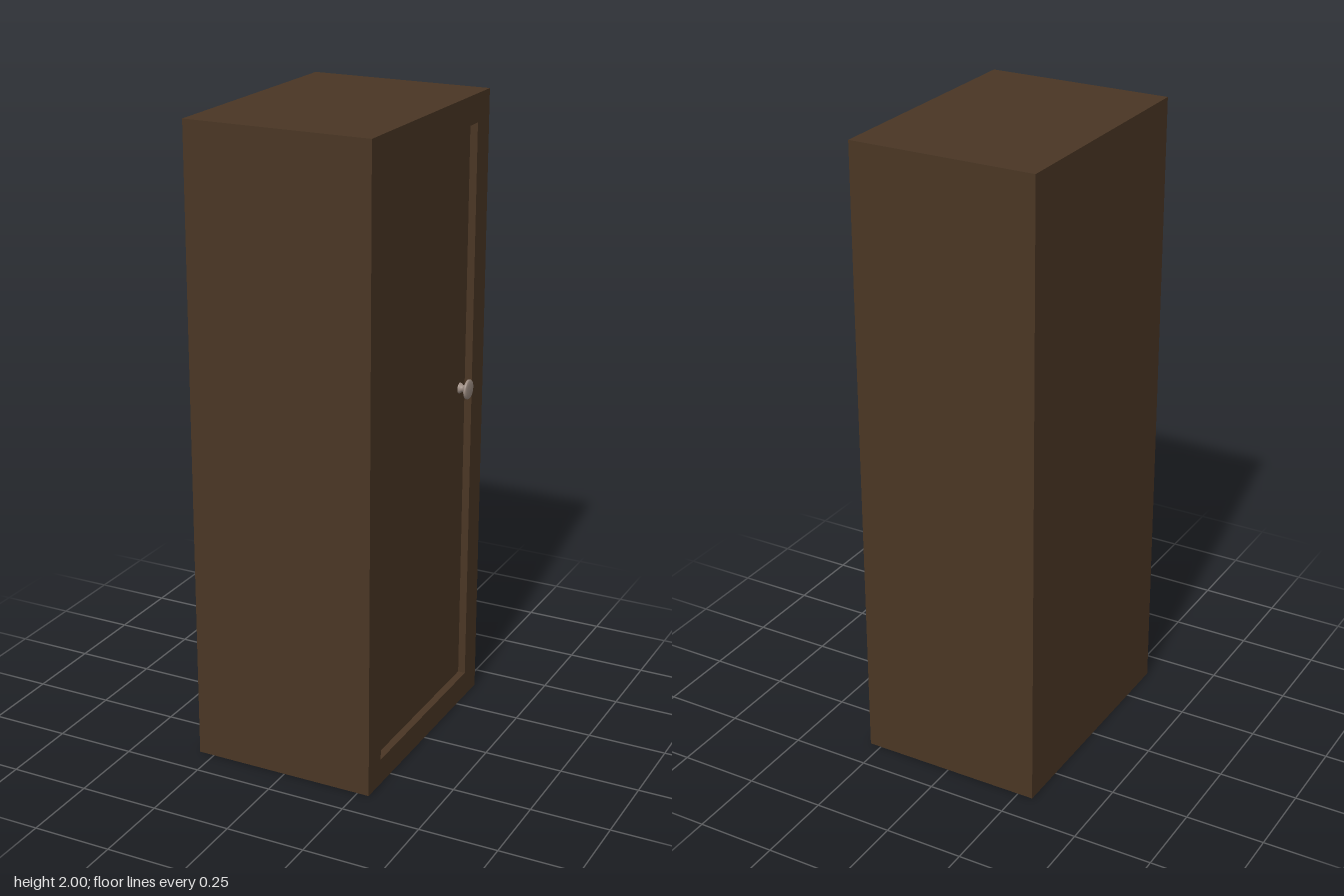
import * as THREE from 'three';

const BACK = -0.3, PANEL = 0.264, FACE = 0.288; // x positions of back, recessed panel and door frame

function rectPoints(x0, y0, x1, y1) {
  return [[x0, y0], [x1, y0], [x1, y1], [x0, y1]].map(([x, y]) => new THREE.Vector2(x, y));
}

export function createModel() {
  const wood = new THREE.MeshStandardMaterial({ color: 0x4a3624 });
  wood.name = 'darkWood';
  const metal = new THREE.MeshStandardMaterial({ color: 0x9c8c82 });
  metal.name = 'knobMetal';

  const group = new THREE.Group();
  group.name = 'cabinet';
  const add = (name, geometry, material) => {
    const mesh = new THREE.Mesh(geometry, material);
    mesh.name = name;
    group.add(mesh);
    return mesh;
  };

  // Carcass, whose +x side is the recessed door panel
  const carcass = add('carcass', new THREE.BoxGeometry(PANEL - BACK, 2, 0.8), wood);
  carcass.position.set((BACK + PANEL) / 2, 1, 0);

  // Raised frame around the door panel
  const outline = new THREE.Shape(rectPoints(-0.4, 0, 0.4, 2));
  outline.holes.push(new THREE.Path(rectPoints(-0.318, 0.083, 0.315, 1.912)));
  const frame = new THREE.ExtrudeGeometry(outline, { depth: FACE - PANEL, bevelEnabled: false });
  frame.rotateY(Math.PI / 2);
  add('doorFrame', frame, wood).position.x = PANEL;

  // Turned knob: flared foot, narrow neck, broad cap
  const profile = [
    [0.017, 0], [0.016, 0.005], [0.011, 0.01], [0.011, 0.019], [0.025, 0.023],
    [0.031, 0.026], [0.0315, 0.031], [0.029, 0.034], [0.017, 0.0355], [0, 0.036],
  ].map(([r, h]) => new THREE.Vector2(r, h));
  const knob = add('knob', new THREE.LatheGeometry(profile, 20), metal);
  knob.rotation.z = -Math.PI / 2;
  knob.position.set(PANEL, 1.085, -0.276);

  return group;
}
